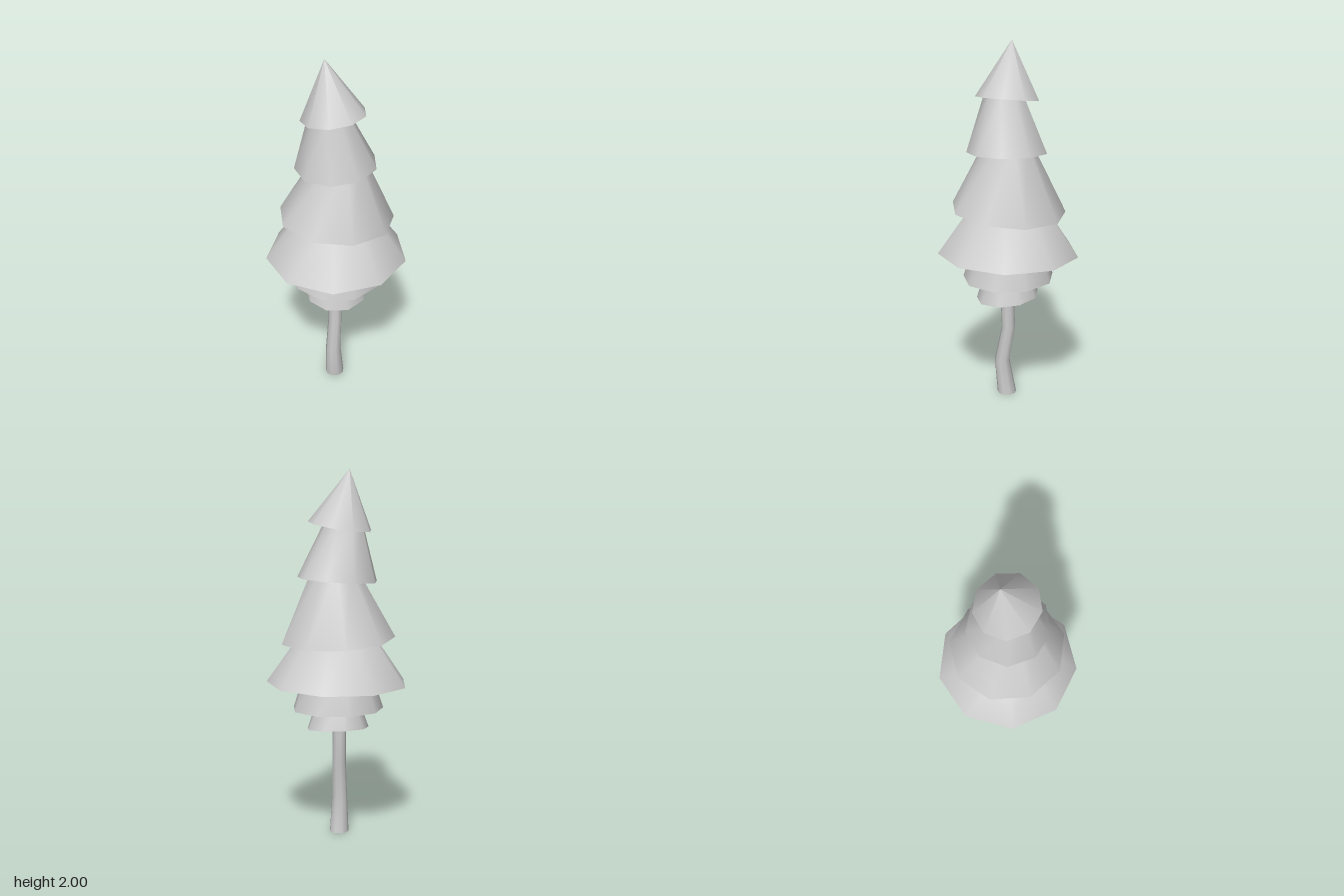
import * as THREE from 'three';
import { toCreasedNormals } from 'three/addons/utils/BufferGeometryUtils.js';

const SIDES = 9;
const CREASE = 1.0;
const material = new THREE.MeshStandardMaterial({ color: 0xcccccc });

// Moves every vertex by a rule, then smooths the sides and keeps the rims sharp.
function shape(geometry, rule) {
  const pos = geometry.attributes.position;
  const v = new THREE.Vector3();
  for (let i = 0; i < pos.count; i++) {
    rule(v.fromBufferAttribute(pos, i));
    pos.setXYZ(i, v.x, v.y, v.z);
  }
  return toCreasedNormals(geometry, CREASE);
}

// A nine-sided skirt of foliage: tilted base ring, offset top ring.
// base/top = [x, y, z, radius], tilt = [rise per x, rise per z], turn in degrees.
function foliageTier(base, top, tilt, turn) {
  const geometry = new THREE.CylinderGeometry(
    top[3], base[3], 1, SIDES, 1, false, THREE.MathUtils.degToRad(turn));
  return shape(geometry, (v) => {
    const isTop = v.y > 0;
    const c = isTop ? top : base;
    const rise = isTop ? 0 : tilt[0] * v.x + tilt[1] * v.z;
    v.set(v.x + c[0], c[1] + rise, v.z + c[2]);
  });
}

// A bent, tapering trunk through rings of [x, y, z, radius].
function bentTrunk(rings) {
  const n = rings.length - 1;
  const geometry = new THREE.CylinderGeometry(1, 1, 1, SIDES, n);
  return shape(geometry, (v) => {
    const [x, y, z, r] = rings[Math.round((v.y + 0.5) * n)];
    v.set(x + v.x * r, y, z + v.z * r);
  });
}

export function createModel() {
  const tree = new THREE.Group();
  tree.name = 'pineTree';

  const add = (name, geometry) => {
    const mesh = new THREE.Mesh(geometry, material);
    mesh.name = name;
    tree.add(mesh);
  };

  add('trunk', bentTrunk([
    [-0.008, 0, 0.01, 0.053],
    [-0.008, 0.2, 0.037, 0.042],
    [-0.008, 0.4, 0.0, 0.038],
    [-0.008, 0.7, 0.013, 0.037],
  ]));

  // Foliage from the bottom up: base ring, top ring, tilt, turn
  const tiers = [
    [[0, 0.592, 0.005, 0.172], [0, 0.78, 0.012, 0.105], [-0.04, -0.1], 0],
    [[0, 0.703, 0, 0.252], [0, 0.95, 0, 0.172], [-0.01, -0.015], 0],
    [[0, 0.849, 0, 0.388], [0, 1.18, 0, 0.157], [0.013, 0.013], 15],
    [[0, 1.09, 0, 0.314], [0.02, 1.48, 0, 0.12], [-0.035, 0.075], 34],
    [[0, 1.412, 0.005, 0.22], [-0.03, 1.72, 0.028, 0.105], [0.06, -0.01], 10],
    [[-0.013, 1.697, 0.005, 0.173], [-0.065, 2, -0.01, 0], [0.155, 0.05], 10],
  ];
  tiers.forEach((tier, i) => add(`foliageTier${i + 1}`, foliageTier(...tier)));

  return tree;
}
